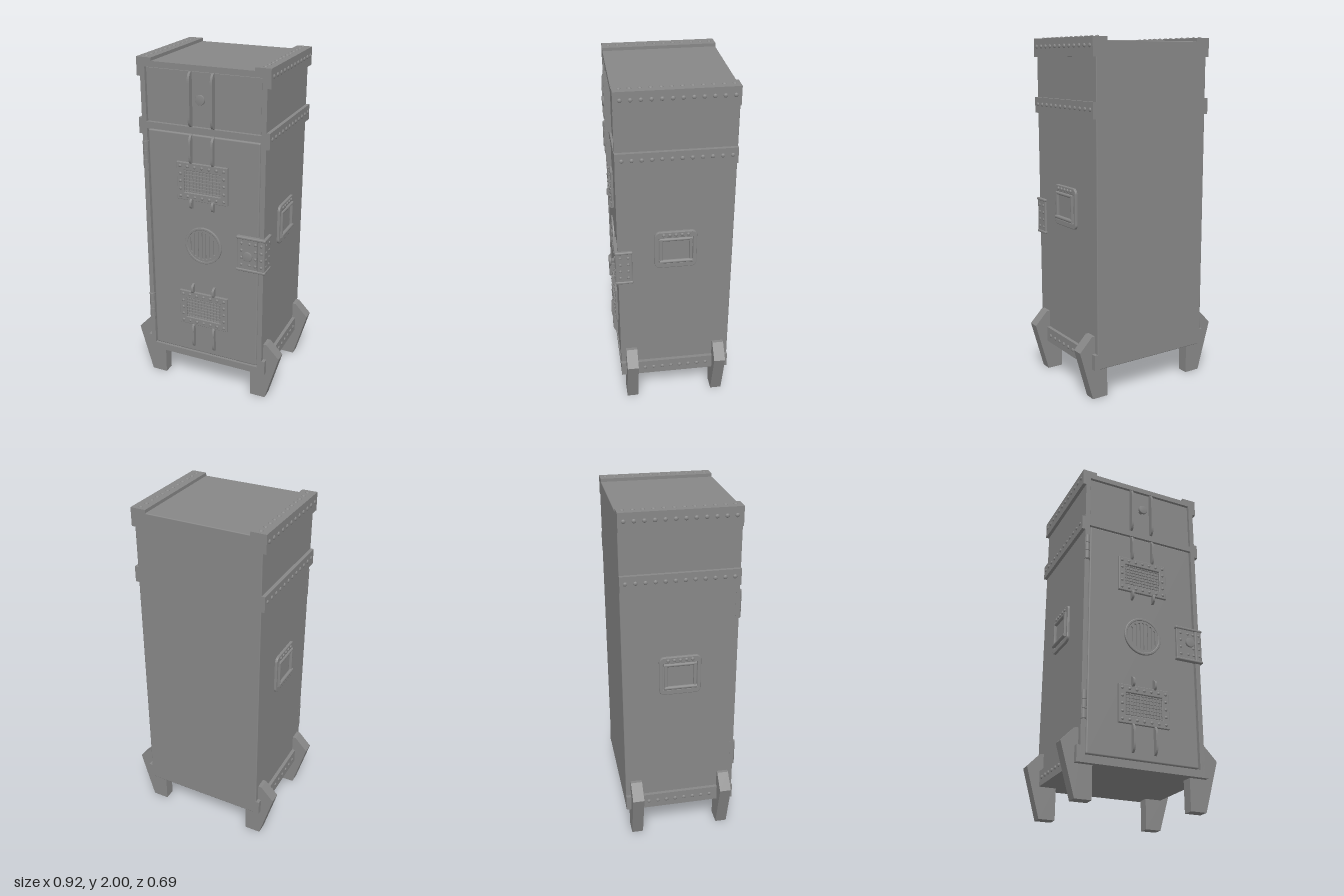
import * as THREE from 'three';
import { RoundedBoxGeometry } from 'three/addons/geometries/RoundedBoxGeometry.js';

const iron = new THREE.MeshStandardMaterial({ color: 0x878787 });

function add(parent, name, geo, x = 0, y = 0, z = 0) {
  const m = new THREE.Mesh(geo, iron);
  m.name = name;
  m.position.set(x, y, z);
  parent.add(m);
  return m;
}

function group(parent, name, x = 0, y = 0, z = 0) {
  const g = new THREE.Group();
  g.name = name;
  g.position.set(x, y, z);
  parent.add(g);
  return g;
}

// Box given by its min and max corners, optionally with rounded edges
function block(parent, name, [x0, y0, z0], [x1, y1, z1], r = 0) {
  const s = [x1 - x0, y1 - y0, z1 - z0];
  const geo = r ? new RoundedBoxGeometry(...s, 2, r) : new THREE.BoxGeometry(...s);
  return add(parent, name, geo, (x0 + x1) / 2, (y0 + y1) / 2, (z0 + z1) / 2);
}

function rect(P, x0, y0, x1, y1, r = 0) {
  const p = new P();
  if (!r) return p.setFromPoints([[x0, y0], [x1, y0], [x1, y1], [x0, y1], [x0, y0]].map(a => new THREE.Vector2(...a)));
  p.moveTo(x0 + r, y0).lineTo(x1 - r, y0);
  p.absarc(x1 - r, y0 + r, r, -Math.PI / 2, 0);
  p.absarc(x1 - r, y1 - r, r, 0, Math.PI / 2);
  p.absarc(x0 + r, y1 - r, r, Math.PI / 2, Math.PI);
  p.absarc(x0 + r, y0 + r, r, Math.PI, Math.PI * 1.5);
  return p;
}

const extrude = (shape, depth, bevel = 0, curveSegments = 8) => new THREE.ExtrudeGeometry(shape, {
  depth: depth - bevel, bevelEnabled: bevel > 0, bevelSize: bevel, bevelOffset: -bevel,
  bevelThickness: bevel, bevelSegments: 2, curveSegments });

// Domed rivet whose head points along dir
const up = new THREE.Vector3(0, 1, 0);
function rivet(parent, x, y, z, dir, r = 0.012, h = 0.008) {
  const geo = new THREE.SphereGeometry(r, 10, 4, 0, Math.PI * 2, 0, Math.PI / 2).scale(1, h / r, 1);
  const m = add(parent, 'rivet', geo, x, y, z);
  m.quaternion.setFromUnitVectors(up, new THREE.Vector3(...dir));
}

// Turn knob with a thin stem and a flat head, pointing along +z
function knob(parent, name, x, y, z, r, len) {
  const pts = [[0, 0], [r * 0.42, 0], [r * 0.42, len * 0.62], [r * 0.92, len * 0.64], [r, len * 0.72],
    [r, len * 0.9], [r * 0.9, len], [0, len]];
  const geo = new THREE.LatheGeometry(pts.map(p => new THREE.Vector2(...p)), 20).rotateX(Math.PI / 2);
  add(parent, name, geo, x, y, z);
}

// Thin vertical rib whose ends curve back into the front
function rib(parent, x, y0, y1) {
  const r = Math.min(0.055, (y1 - y0) * 0.45), d = 0.036, s = new THREE.Shape();
  s.moveTo(0, y0).lineTo(0.01, y0);
  s.quadraticCurveTo(d, y0 + r * 0.2, d, y0 + r);
  s.lineTo(d, y1 - r);
  s.quadraticCurveTo(d, y1 - r * 0.2, 0.01, y1);
  s.lineTo(0, y1);
  add(parent, 'rib', extrude(s, 0.013).rotateY(-Math.PI / 2), x + 0.0065, 0, 0.288);
}

// Riveted plate with a wire mesh window
function grille(parent, y) {
  const g = group(parent, 'grille', -0.002, y, 0.29);
  const plate = rect(THREE.Shape, -0.153, -0.11, 0.153, 0.11);
  plate.holes.push(rect(THREE.Path, -0.11, -0.065, 0.11, 0.065));
  add(g, 'grillePlate', extrude(plate, 0.019, 0.003));
  for (let i = -5; i <= 5; i++) block(g, 'meshWire', [i * 0.02 - 0.002, -0.065, 0.006], [i * 0.02 + 0.002, 0.065, 0.012]);
  for (let i = -3; i <= 3; i++) block(g, 'meshWire', [-0.11, i * 0.019 - 0.002, 0.008], [0.11, i * 0.019 + 0.002, 0.014]);
  for (let i = -3; i <= 3; i++) for (const s of [-1, 1]) rivet(g, i * 0.0437, s * 0.088, 0.019, [0, 0, 1], 0.009, 0.006);
  for (let i = -1; i <= 1; i++) for (const s of [-1, 1]) rivet(g, s * 0.131, i * 0.044, 0.019, [0, 0, 1], 0.009, 0.006);
}

// Bands, legs and handle for one side, s = +1 or -1
function side(parent, s) {
  const g = group(parent, s > 0 ? 'leftSide' : 'rightSide');
  const span = (name, xa, y0, xb, y1) =>
    block(g, name, [Math.min(s * xa, s * xb), y0, -0.345], [Math.max(s * xa, s * xb), y1, 0.3]);
  span('topBand', 0.35, 1.89, 0.385, 1.993);
  span('topStrip', 0.297, 1.96, 0.35, 1.993);
  span('middleBand', 0.35, 1.57, 0.385, 1.66);
  span('bottomBand', 0.35, 0.18, 0.385, 0.27);
  for (let i = 0; i < 12; i++) {
    const z = -0.315 + i * 0.0527;
    rivet(g, s * 0.34, 1.992, z, [0, 1, 0]);
    rivet(g, s * 0.384, 1.948, z, [s, 0, 0]);
    rivet(g, s * 0.384, 1.62, z, [s, 0, 0]);
    if (i > 1 && i < 10) rivet(g, s * 0.384, 0.225, z, [s, 0, 0]);
  }

  // Splayed legs
  const leg = new THREE.Shape([[0.285, 0], [0.38, 0], [0.462, 0.29], [0.385, 0.37], [0.355, 0.37], [0.355, 0.2], [0.285, 0.2]]
    .map(([x, y]) => new THREE.Vector2(s * x, y)));
  for (const z of [0.205, -0.316]) add(g, 'leg', extrude(leg, 0.066), 0, 0, z);

  // Carrying handle on a rounded plate
  const h = group(g, 'handle', s * 0.36, 1.057, -0.023);
  h.rotation.y = s * Math.PI / 2;
  const plate = rect(THREE.Shape, -0.118, -0.117, 0.118, 0.117, 0.03);
  plate.holes.push(rect(THREE.Path, -0.096, -0.083, 0.096, 0.077, 0.008));
  add(h, 'handlePlate', extrude(plate, 0.019, 0.005));
  for (const x of [-0.083, 0.083]) block(h, 'handleArm', [x - 0.009, -0.078, 0.01], [x + 0.009, 0.077, 0.028], 0.004);
  const bar = (name, r, y, z) => add(h, name, new THREE.CylinderGeometry(r, r, 0.184, 12).rotateZ(Math.PI / 2), 0, y, z);
  bar('handleGrip', 0.011, -0.07, 0.023);
  bar('handleHinge', 0.01, 0.069, 0.018);
  for (let i = -2; i <= 2; i++) rivet(h, i * 0.034, 0.097, 0.019, [0, 0, 1], 0.01, 0.007);
}

export function createModel() {
  const model = new THREE.Group();
  model.name = 'cabinet';

  // Carcass and front frame
  block(model, 'body', [-0.365, 0.18, -0.345], [0.365, 1.975, 0.28], 0.005);
  const frame = rect(THREE.Shape, -0.365, 0.18, 0.365, 1.975);
  frame.holes.push(rect(THREE.Path, -0.337, 1.642, 0.337, 1.943), rect(THREE.Path, -0.337, 0.222, 0.337, 1.605));
  add(model, 'frontFrame', extrude(frame, 0.03), 0, 0, 0.27);
  block(model, 'drawer', [-0.332, 1.647, 0.26], [0.332, 1.938, 0.289]);
  block(model, 'door', [-0.332, 0.227, 0.26], [0.332, 1.6, 0.296], 0.009);

  for (const s of [-1, 1]) side(model, s);

  // Ribs across drawer and door
  for (const x of [-0.068, 0.064])
    for (const [a, b] of [[1.642, 1.94], [1.43, 1.6], [1.17, 1.235], [0.63, 0.695], [0.265, 0.43]]) rib(model, x, a, b);

  grille(model, 1.33);
  grille(model, 0.53);
  knob(model, 'drawerKnob', 0, 1.8, 0.288, 0.028, 0.041);

  // Round vent: raised rim around a slotted disc
  const vent = group(model, 'vent', -0.002, 0.95, 0.29);
  const rim = new THREE.Shape().absarc(0, 0, 0.113, 0, Math.PI * 2);
  rim.holes.push(new THREE.Path().absarc(0, 0, 0.097, 0, Math.PI * 2));
  add(vent, 'ventRim', extrude(rim, 0.016, 0.004, 28));
  const disc = new THREE.Shape().absarc(0, 0, 0.1, 0, Math.PI * 2);
  for (let i = -3; i <= 3; i++) {
    const x = i * 0.0235, h = Math.sqrt(0.085 ** 2 - x ** 2);
    disc.holes.push(rect(THREE.Path, x - 0.0075, -h, x + 0.0075, h, 0.007));
  }
  add(vent, 'ventDisc', extrude(disc, 0.013, 0, 24));

  // Door hinges
  for (const y of [1.45, 0.49]) {
    block(model, 'hingeLeaf', [-0.366, y - 0.08, 0.28], [-0.333, y + 0.08, 0.303]);
    for (const d of [-0.053, 0, 0.053])
      add(model, 'hingeKnuckle', new THREE.CylinderGeometry(0.016, 0.016, 0.05, 14), -0.35, y + d, 0.298);
  }

  // Latch wrapping the front edge
  const latch = group(model, 'latch');
  block(latch, 'latchFront', [0.21, 0.855, 0.285], [0.328, 1.055, 0.312], 0.004);
  block(latch, 'latchCorner', [0.331, 0.855, 0.22], [0.375, 1.055, 0.315], 0.008);
  for (const y of [0.857, 1.053]) {
    block(latch, 'latchLip', [0.205, y - 0.008, 0.285], [0.378, y + 0.008, 0.318], 0.006);
    block(latch, 'latchSideLip', [0.35, y - 0.008, 0.217], [0.38, y + 0.008, 0.316], 0.006);
  }
  for (let j = 0; j < 4; j++) {
    const y = 0.89 + j * 0.0437;
    for (const x of [0.237, 0.285, 0.32, 0.356])
      if (x !== 0.285 || j % 3 === 0) rivet(latch, x, y, x > 0.33 ? 0.314 : 0.311, [0, 0, 1], 0.009, 0.006);
    for (const z of [0.243, 0.288]) rivet(latch, 0.374, y, z, [1, 0, 0], 0.009, 0.006);
  }
  knob(latch, 'latchKnob', 0.283, 0.955, 0.308, 0.029, 0.037);

  return model;
}
